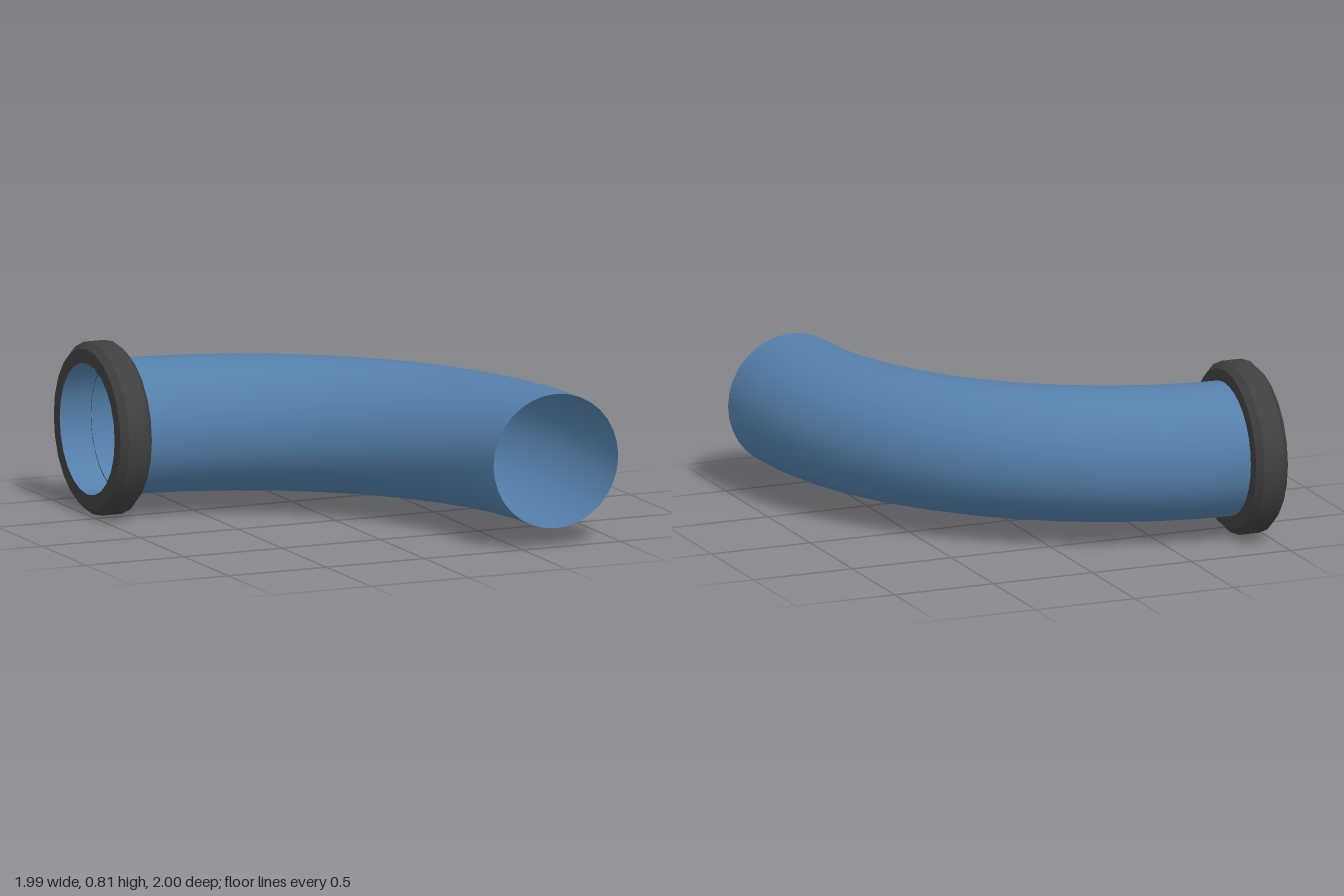
import * as THREE from 'three';
import { toCreasedNormals } from 'three/addons/utils/BufferGeometryUtils.js';

export function createModel() {
  const group = new THREE.Group();
  const blue = new THREE.MeshStandardMaterial({ color: 0x5480ab, side: THREE.DoubleSide });
  blue.name = 'pipe blue';
  const dark = new THREE.MeshStandardMaterial({ color: 0x404040, side: THREE.DoubleSide });
  dark.name = 'flange dark grey';

  const axisY = 0.407, startX = -0.92, startZ = -0.595;
  const bendRadius = 1.592, pipeRadius = 0.318;

  const add = (name, geometry, material, x, y, z) => {
    const mesh = new THREE.Mesh(geometry, material);
    mesh.name = name;
    mesh.position.set(x, y, z);
    group.add(mesh);
  };

  // Open quarter-turn pipe, bending from +x round to +z
  const bend = new THREE.TorusGeometry(bendRadius, pipeRadius, 32, 12, Math.PI / 2);
  bend.rotateX(-Math.PI / 2);
  add('pipeBend', bend, blue, startX, axisY, startZ + bendRadius);

  // Bevelled collar round the start of the pipe
  const profile = [
    [0.31, -0.08], [0.377, -0.08], [0.407, -0.05],
    [0.407, 0.05], [0.377, 0.08], [0.31, 0.08],
  ].map(([r, h]) => new THREE.Vector2(r, h));
  const collar = toCreasedNormals(new THREE.LatheGeometry(profile, 24), Math.PI / 6);
  collar.rotateZ(Math.PI / 2);
  add('flange', collar, dark, startX, axisY, startZ);

  // Short sleeve lining the mouth of the collar
  const sleeve = new THREE.CylinderGeometry(0.31, 0.31, 0.08, 32, 1, true);
  sleeve.rotateZ(Math.PI / 2);
  add('mouthSleeve', sleeve, blue, startX - 0.04, axisY, startZ);

  return group;
}
